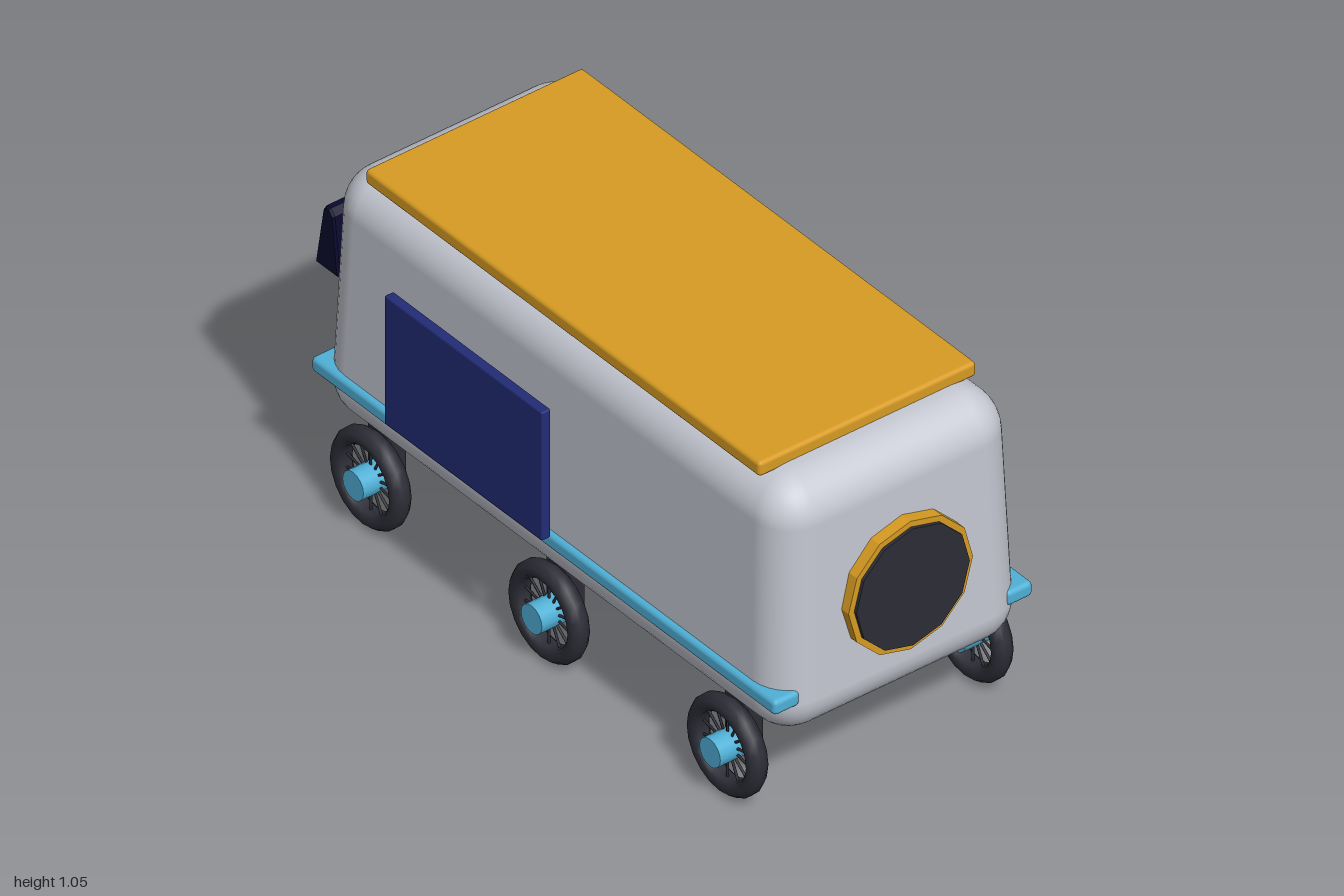
import * as THREE from 'three';
import { RoundedBoxGeometry } from 'three/addons/geometries/RoundedBoxGeometry.js';

const mat = (name, color) => Object.assign(new THREE.MeshStandardMaterial({ color }), { name });

export function createModel() {
  const shell = mat('pale grey', 0xc6c9d3);
  const gold = mat('gold', 0xd79b22);
  const sky = mat('sky blue', 0x50b0d6);
  const navy = mat('navy', 0x222c75);
  const midnight = mat('midnight blue', 0x0b0a2e);
  const dark = mat('charcoal', 0x2c2d36);

  const model = new THREE.Group();
  model.name = 'sixWheeledVan';
  const add = (parent, name, geometry, material, x = 0, y = 0, z = 0) => {
    const mesh = new THREE.Mesh(geometry, material);
    mesh.name = name;
    mesh.position.set(x, y, z);
    parent.add(mesh);
    return mesh;
  };

  // Body: rounded box that narrows slightly towards the roof
  const body = new RoundedBoxGeometry(0.82, 0.77, 1.92, 4, 0.12);
  const p = body.attributes.position;
  for (let i = 0; i < p.count; i++) {
    const t = p.getY(i) / 0.77 + 0.5;
    p.setX(i, p.getX(i) * (1 - 0.07 * t));
    p.setZ(i, p.getZ(i) * (1 - 0.03 * t));
  }
  add(model, 'body', body, shell, 0, 0.64, 0.013);

  // Roof panel
  add(model, 'roofPanel', new RoundedBoxGeometry(0.706, 0.046, 1.615, 2, 0.012), gold, 0, 1.038, 0.006);

  // Twelve-sided front port with its rim
  const disc = (r, h) => new THREE.CylinderGeometry(r, r, h, 12).rotateX(Math.PI / 2).toNonIndexed();
  const rim = disc(0.202, 0.05);
  const glass = disc(0.184, 0.05);
  rim.computeVertexNormals();
  glass.computeVertexNormals();
  add(model, 'portRim', rim, gold, 0, 0.617, 0.963);
  add(model, 'portGlass', glass, dark, 0, 0.617, 0.973);

  // Rear visor: wedge cross-section in (-z, y), extruded across the width
  const wedge = new THREE.Shape([
    [0.905, 0.665], [0.99, 0.665], [0.96, 0.84], [0.95, 0.855], [0.938, 0.855], [0.925, 0.84],
  ].map(([a, b]) => new THREE.Vector2(a, b)));
  const visor = new THREE.ExtrudeGeometry(wedge, {
    depth: 0.71, bevelEnabled: true, bevelSize: 0.005, bevelThickness: 0.006, bevelSegments: 1,
  });
  visor.translate(0, 0, -0.355).rotateY(Math.PI / 2);
  add(model, 'rearVisor', visor, midnight);

  // Wheel parts, all turning about the x axis
  const tyreProfile = [
    [0.1, -0.018], [0.11, -0.028], [0.132, -0.028], [0.145, -0.01],
    [0.145, 0.01], [0.132, 0.028], [0.11, 0.028], [0.1, 0.018], [0.1, -0.018],
  ].map(([r, h]) => new THREE.Vector2(r, h));
  const tyre = new THREE.LatheGeometry(tyreProfile, 20).rotateZ(Math.PI / 2);
  const hub = new THREE.CylinderGeometry(0.043, 0.043, 0.115, 16).rotateZ(Math.PI / 2);
  const spoke = new THREE.CylinderGeometry(0.004, 0.004, 0.07, 5).translate(0, 0.07, 0);
  const leg = new RoundedBoxGeometry(0.06, 0.16, 0.09, 2, 0.008);

  for (const side of [1, -1]) {
    const label = side > 0 ? 'left' : 'right';

    // Side rail, solar panel and its strut
    add(model, label + 'Rail', new RoundedBoxGeometry(0.085, 0.046, 1.9, 2, 0.014), sky, side * 0.378, 0.398, 0.011);
    add(model, label + 'Panel', new RoundedBoxGeometry(0.03, 0.405, 0.645, 1, 0.005), navy, side * 0.467, 0.657, -0.237);
    const strut = new THREE.CylinderGeometry(0.016, 0.016, 0.12, 10).rotateZ(Math.PI / 2);
    add(model, label + 'Strut', strut, dark, side * 0.4, 0.675, -0.24);

    // Three wheels, each hung from a leg
    [0.74, 0.01, -0.72].forEach((z, i) => {
      const wheel = new THREE.Group();
      wheel.name = label + 'Wheel' + (i + 1);
      wheel.position.set(side * 0.398, 0.153, z);
      model.add(wheel);
      add(wheel, 'tyre', tyre, dark);
      add(wheel, 'hub', hub, sky);
      for (let s = 0; s < 14; s++) {
        add(wheel, 'spoke', spoke, dark).rotation.x = (s / 14) * Math.PI * 2;
      }
      add(model, label + 'Leg' + (i + 1), leg, dark, side * 0.345, 0.235, z);
    });
  }
  return model;
}
